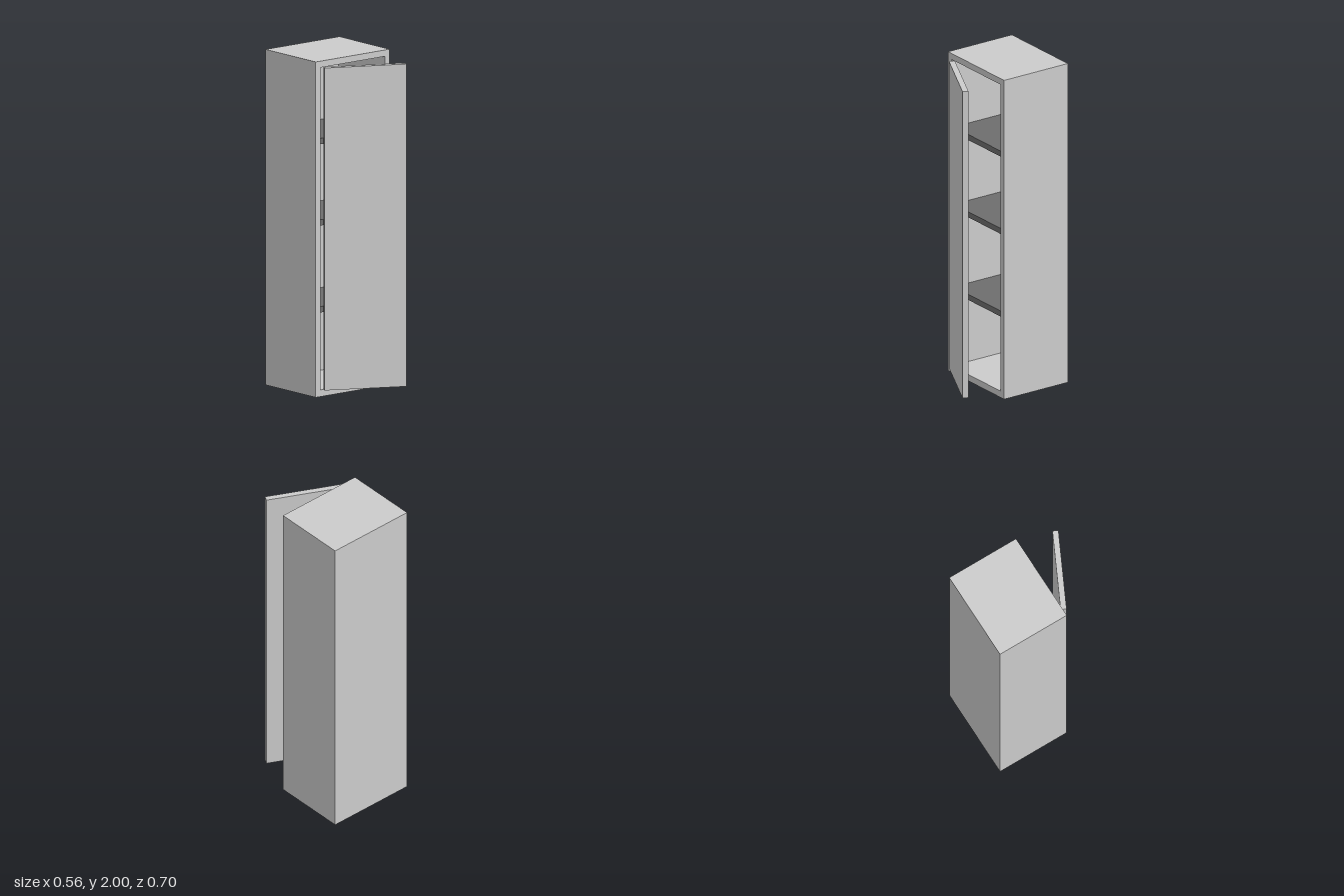
import * as THREE from 'three';

const grey = new THREE.MeshStandardMaterial({ color: 0xcccccc });
const darkGrey = new THREE.MeshStandardMaterial({ color: 0x6e6e6e });

// Overall cabinet extents
const W = 0.56, H = 2, BACK = -0.352, FRONT = 0.106;
const INNER_X = 0.245, INNER_BOTTOM = 0.04, INNER_TOP = 1.962, WALL = 0.035;

function add(group, name, geometry, material = grey) {
  const mesh = new THREE.Mesh(geometry, material);
  mesh.name = name;
  group.add(mesh);
  return mesh;
}

export function createModel() {
  const model = new THREE.Group();
  model.name = 'cabinet';

  // Hollow body: rectangular frame extruded from the back panel to the front
  const outline = new THREE.Shape([
    new THREE.Vector2(-W / 2, 0), new THREE.Vector2(W / 2, 0),
    new THREE.Vector2(W / 2, H), new THREE.Vector2(-W / 2, H),
  ]);
  const opening = new THREE.Path([
    new THREE.Vector2(-INNER_X, INNER_BOTTOM), new THREE.Vector2(-INNER_X, INNER_TOP),
    new THREE.Vector2(INNER_X, INNER_TOP), new THREE.Vector2(INNER_X, INNER_BOTTOM),
  ]);
  outline.holes.push(opening);
  const frame = new THREE.ExtrudeGeometry(outline, { depth: FRONT - BACK, bevelEnabled: false });
  add(model, 'body', frame).position.z = BACK;

  // Back panel closing the opening
  const panel = new THREE.BoxGeometry(INNER_X * 2, INNER_TOP - INNER_BOTTOM, WALL);
  add(model, 'backPanel', panel)
    .position.set(0, (INNER_TOP + INNER_BOTTOM) / 2, BACK + WALL / 2);

  // Three shelves, set slightly behind the front edge
  const shelfBack = BACK + WALL, shelfFront = FRONT - 0.015;
  for (const y of [0.515, 1.033, 1.518]) {
    const shelf = new THREE.BoxGeometry(INNER_X * 2, 0.035, shelfFront - shelfBack);
    add(model, 'shelf', shelf, darkGrey).position.set(0, y, (shelfFront + shelfBack) / 2);
  }

  // Door standing ajar, hinged at the right (-x) edge of the opening
  const hinge = new THREE.Group();
  hinge.name = 'doorHinge';
  hinge.position.set(-0.219, INNER_BOTTOM, 0.102);
  hinge.rotation.y = -0.459;
  const doorW = 0.49, doorH = INNER_TOP - INNER_BOTTOM, doorD = 0.035;
  add(hinge, 'door', new THREE.BoxGeometry(doorW, doorH, doorD))
    .position.set(doorW / 2, doorH / 2, doorD / 2);
  model.add(hinge);

  return model;
}
